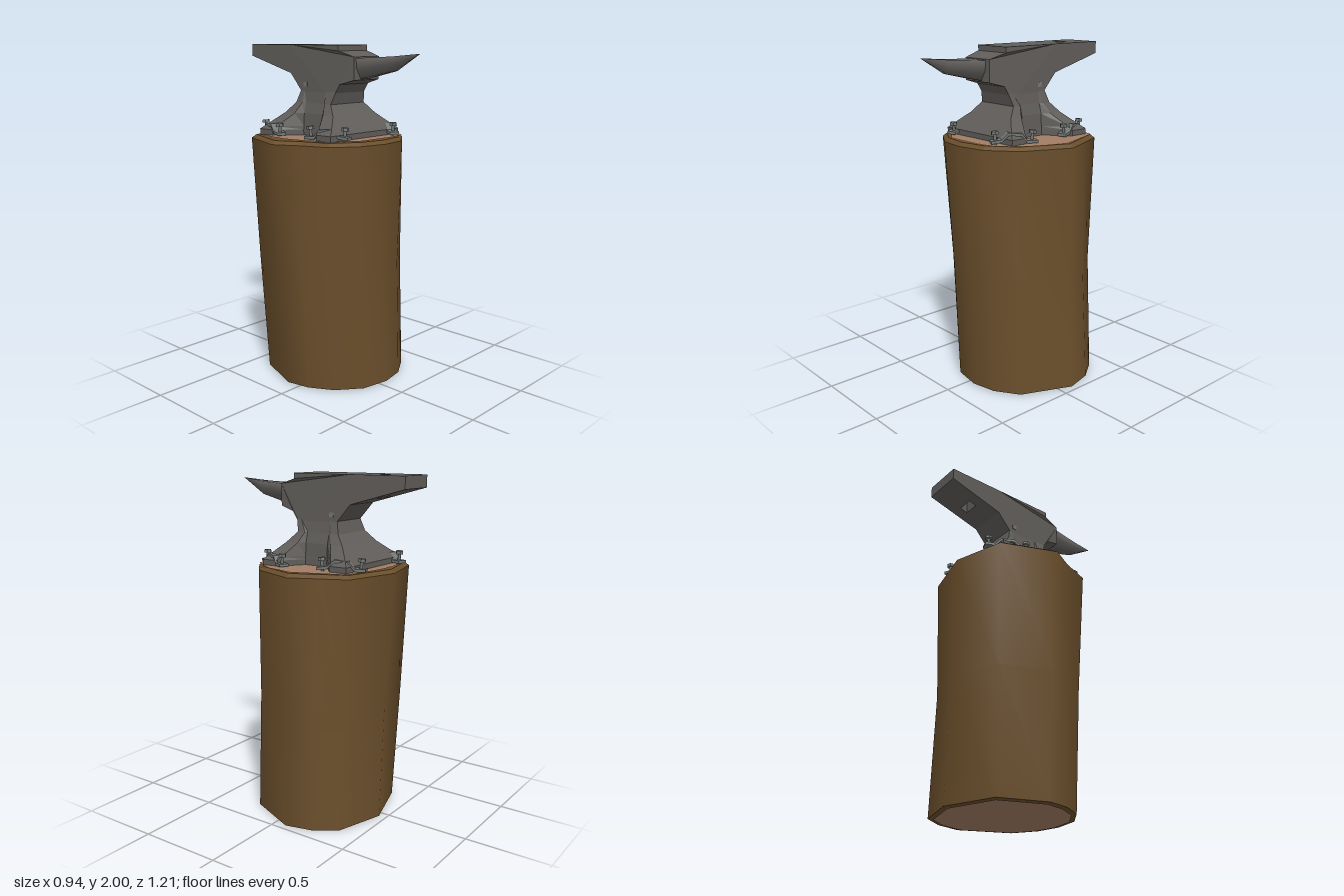
import * as THREE from 'three';

const mat = (name, color) => Object.assign(new THREE.MeshStandardMaterial({ color }), { name });
const bark = mat('bark', 0x6a4e2b);
const wood = mat('cutWood', 0xa07c64);
const iron = mat('anvilIron', 0x605d5a);
const steel = mat('clampSteel', 0x727875);
const dark = mat('darkHole', 0x2c2a29);

const named = (geo, material, name) => Object.assign(new THREE.Mesh(geo, material), { name });

// Skin between closed rings of equal length; flat gives hard facets
function loft(rings, flat) {
  const n = rings[0].length, index = [];
  for (let i = 0; i < rings.length - 1; i++) {
    for (let j = 0; j < n; j++) {
      const k = (j + 1) % n;
      const a = i * n + j, b = i * n + k, c = a + n, d = b + n;
      index.push(a, c, d, a, d, b);
    }
  }
  let geo = new THREE.BufferGeometry();
  geo.setAttribute('position', new THREE.Float32BufferAttribute(rings.flat(2), 3));
  geo.setIndex(index);
  if (flat) geo = geo.toNonIndexed();
  geo.computeVertexNormals();
  return geo;
}

// Flat polygon in the xz plane, facing up or down
function plate(pts, y, up) {
  const s = up ? -1 : 1;
  const shape = new THREE.Shape(pts.map(([x, z]) => new THREE.Vector2(x, s * z)));
  return new THREE.ShapeGeometry(shape).rotateX(s * Math.PI / 2).translate(0, y, 0);
}

const inset = (pts, k, cx, cz) => pts.map(([x, z]) => [cx + (x - cx) * k, cz + (z - cz) * k]);
const atY = (pts, y) => pts.map(([x, z]) => [x, y, z]);

function buildStump() {
  const g = new THREE.Group();
  g.name = 'stump';
  const bottom = [[.47, -.08], [.34, .22], [.2, .31], [.05, .34], [-.12, .31], [-.26, .2],
    [-.34, .06], [-.37, -.08], [-.27, -.36], [.05, -.46], [.34, -.37], [.43, -.24]];
  const middle = [[.42, -.08], [.32, .21], [.17, .31], [.01, .34], [-.16, .31], [-.3, .21],
    [-.38, .06], [-.42, -.08], [-.31, -.38], [.01, -.46], [.3, -.37], [.39, -.23]];
  const top = [[.44, -.08], [.32, .21], [.16, .34], [-.02, .37], [-.19, .34], [-.34, .24],
    [-.4, .06], [-.47, -.08], [-.34, -.4], [-.03, -.485], [.3, -.4], [.37, -.24]];
  const rim = inset(top, .94, -.02, -.06);
  g.add(named(loft([atY(bottom, .005), atY(middle, .72), atY(top, 1.46)]), bark, 'barkSide'));
  g.add(named(loft([atY(top, 1.46), atY(rim, 1.48)], true), bark, 'barkRim'));
  g.add(named(plate(rim, 1.48, true), bark, 'barkTopRing'));
  g.add(named(plate(bottom, .005, false), bark, 'barkBottomRing'));

  // Pale end grain on both ends
  const grain = [[.4, -.08], [.35, .11], [.22, .29], [.08, .315], [-.16, .31], [-.3, .21], [-.36, .05],
    [-.38, -.08], [-.36, -.21], [-.3, -.35], [-.17, -.41], [-.02, -.43], [.18, -.41], [.3, -.37], [.34, -.24]];
  g.add(named(plate(grain, 1.484, true), wood, 'topEndGrain'));
  g.add(named(plate(inset(bottom, .93, .05, -.06), 0, false), wood, 'bottomEndGrain'));
  return g;
}

function buildAnvil() {
  const g = new THREE.Group();
  g.name = 'anvil';
  g.position.x = -.022;

  // Four-footed base: a section notched on both sides, narrowing to the waist
  const section = (y, X, N, zb, zf, t) => {
    const side = [[X, zb], [X, zb + t], [N, -.13], [N, .02], [X, zf - t], [X, zf]];
    return atY([...side, ...side.map(([x, z]) => [-x, z]).reverse()], y);
  };
  g.add(named(loft([
    section(1.48, .29, .15, -.355, .223, .11),
    section(1.515, .29, .15, -.355, .223, .11),
    section(1.535, .265, .148, -.335, .205, .1),
    section(1.61, .178, .144, -.255, .135, .08),
    section(1.67, .14, .128, -.2, .08, .05),
    section(1.74, .119, .119, -.18, .1, .03),
  ], true), iron, 'base'));

  // Body with face, step and throat, extruded from its side outline
  const outline = [[.12, 2], [-.265, 2], [-.265, 1.836], [-.18, 1.74], [-.192, 1.67], [.08, 1.67],
    [.07, 1.69], [.13, 1.783], [.225, 1.81], [.225, 1.937], [.12, 1.968]];
  const body = new THREE.ExtrudeGeometry(
    new THREE.Shape(outline.map(p => new THREE.Vector2(...p))), { depth: .24, bevelEnabled: false });
  body.rotateY(-Math.PI / 2).translate(.12, 0, 0);
  const bp = body.attributes.position;
  for (let i = 0; i < bp.count; i++) if (bp.getZ(i) > .2) bp.setX(i, bp.getX(i) * .87);
  body.computeVertexNormals();
  g.add(named(body, iron, 'body'));

  // Heel with the square through hole; its underside rises towards the end
  const plan = new THREE.Shape([[-.12, .265], [.12, .265], [.12, .608], [-.12, .608]].map(p => new THREE.Vector2(...p)));
  plan.holes.push(new THREE.Path([[-.048, .388], [-.048, .436], [.047, .436], [.047, .388]].map(p => new THREE.Vector2(...p))));
  const heel = new THREE.ExtrudeGeometry(plan, { depth: .1, bevelEnabled: false });
  heel.rotateX(-Math.PI / 2).translate(0, 1.9, 0);
  const hp = heel.attributes.position;
  for (let i = 0; i < hp.count; i++) {
    if (hp.getY(i) < 1.95) hp.setY(i, 1.836 + (-hp.getZ(i) - .265) * .274);
  }
  heel.computeVertexNormals();
  g.add(named(heel, iron, 'heel'));

  // Horn tapering to a point
  const hornRing = (z, w, top, low) => [[w, top], [w * .92, (top + low) / 2], [w * .5, low],
    [-w * .5, low], [-w * .92, (top + low) / 2], [-w, top]].map(([x, y]) => [x - .008, y, z]);
  g.add(named(loft([
    hornRing(.22, .082, 1.93, 1.815),
    hornRing(.44, .035, 1.942, 1.864),
    hornRing(.604, .0005, 1.958, 1.957),
  ]), iron, 'horn'));

  // Small round-punch hole and side plugs
  g.add(named(plate([[-.11, -.515], [-.09, -.488], [-.108, -.49]], 2.001, true), dark, 'punchHole'));
  for (const s of [-1, 1]) {
    const plug = named(new THREE.BoxGeometry(.006, .026, .03), steel, 'sidePlug');
    plug.position.set(s * .12, 1.775, -.14);
    g.add(plug);
  }
  return g;
}

// Arched strap held down by two hex bolts at a and b
function buildClamp(a, b) {
  const g = new THREE.Group();
  g.name = 'clamp';
  const dx = b[0] - a[0], dz = b[1] - a[1], h = Math.hypot(dx, dz) / 2;
  g.position.set((a[0] + b[0]) / 2, 1.484, (a[1] + b[1]) / 2);
  g.rotation.y = Math.atan2(-dz, dx);

  const upper = [[-h - .03, .02], [-h + .03, .02], [-.045, .058], [.035, .066], [h - .03, .03], [h + .03, .022]];
  const lower = upper.map(([x, y]) => [x, y - .016]).reverse();
  const strap = new THREE.ExtrudeGeometry(
    new THREE.Shape([...upper, ...lower].map(p => new THREE.Vector2(...p))), { depth: .056, bevelEnabled: false });
  g.add(named(strap.translate(0, 0, -.028), steel, 'strap'));

  for (const s of [-1, 1]) {
    const bolt = new THREE.Group();
    bolt.name = 'bolt';
    bolt.position.x = s * h;
    bolt.rotation.z = s * -.08;
    const shank = named(new THREE.CylinderGeometry(.009, .009, .07, 8).toNonIndexed(), steel, 'boltShank');
    shank.position.y = .028;
    const head = new THREE.CylinderGeometry(.021, .023, .018, 6).toNonIndexed();
    head.computeVertexNormals();
    const cap = named(head, steel, 'boltHead');
    cap.position.y = .066;
    bolt.add(shank, cap);
    g.add(bolt);
  }
  return g;
}

export function createModel() {
  const model = new THREE.Group();
  model.name = 'anvilOnStump';
  model.add(buildStump(), buildAnvil());
  const clamps = [
    [[-.227, -.395], [-.307, -.19]],
    [[.175, -.39], [.252, -.19]],
    [[-.29, .052], [-.223, .243]],
    [[.27, .08], [.172, .26]],
  ];
  for (const [a, b] of clamps) model.add(buildClamp(a, b));
  return model;
}
